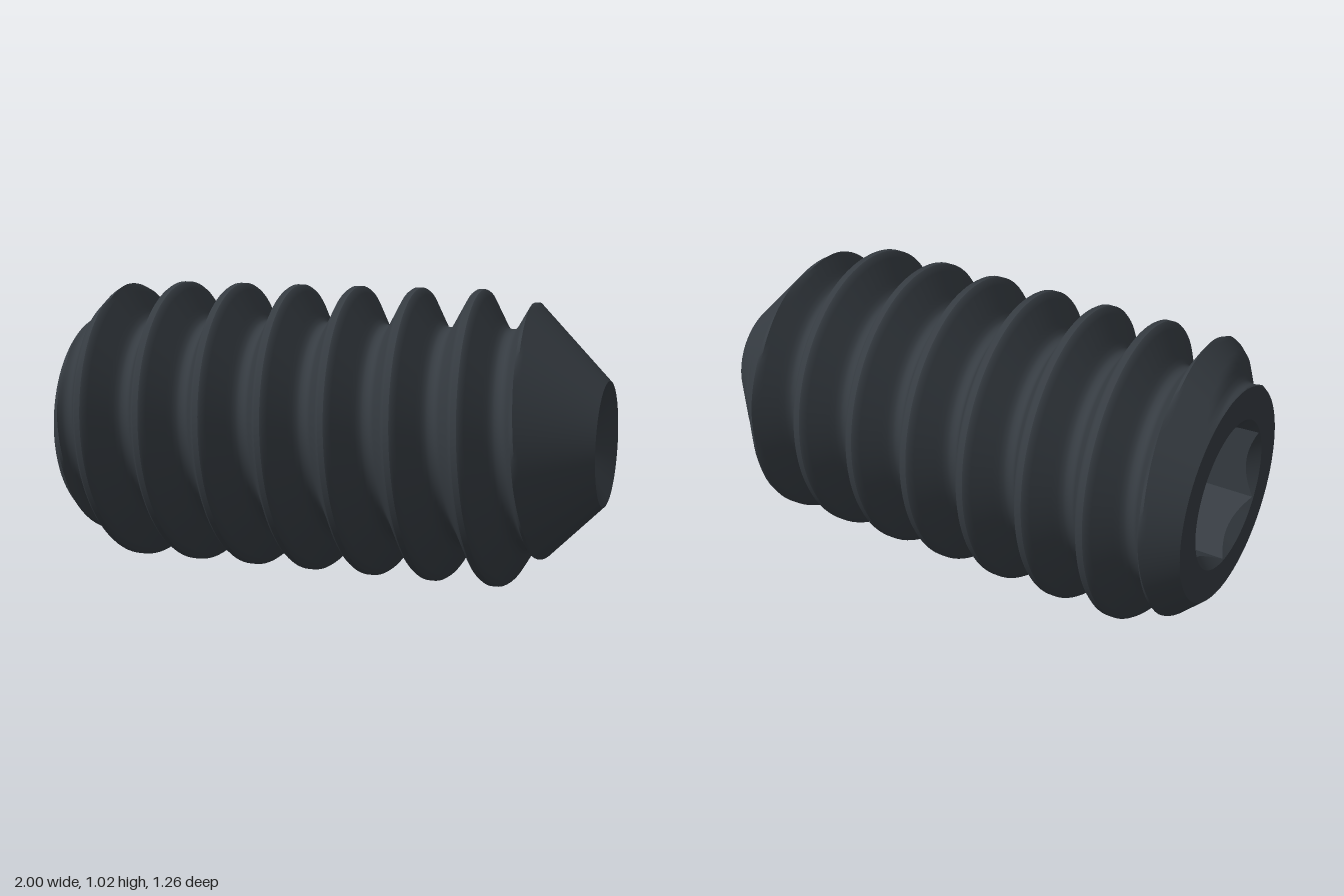
import * as THREE from 'three';
import { toCreasedNormals } from 'three/addons/utils/BufferGeometryUtils.js';

const SEG = 96;
const PITCH = 0.225, CREST = 0.5125;
const BACK = -0.942, TIP = 0.976;          // ends along the screw axis
const BACK_R = 0.376, TIP_R = 0.215;       // radii of the flat ends
const RIM = 0.262, APOTHEM = 0.224;        // socket mouth and hexagon
const FLOOR = BACK + 0.42;

// Half of one thread: [distance from crest, radius]
const HALF = [[0, CREST], [0.010, CREST], [0.018, 0.507]];
for (let i = 1; i <= 6; i++) HALF.push([0.018 + i * 0.0105, 0.507 - i * 0.0178]);
HALF.push([0.092, 0.385], [0.102, 0.379], [PITCH / 2, 0.378]);
const THREAD = [...HALF.slice(1, -1).reverse().map(([d, r]) => [-d, r]), ...HALF];

// Skin through rows; each row maps an angle to [axial position, radius]
function skin(name, rows, material, crease = 0.6) {
  const K = 100;                           // enlarged while normals are computed
  const point = (row, j) => {
    const a = (j / SEG) * Math.PI * 2;
    const [s, r] = row(a);
    return new THREE.Vector3(s, r * Math.cos(a), -r * Math.sin(a)).multiplyScalar(K);
  };
  const grid = rows.map(row => Array.from({ length: SEG + 1 }, (_, j) => point(row, j)));
  const pos = [];
  const tri = new THREE.Triangle();
  const add = (a, b, c) => {
    if (tri.set(a, b, c).getArea() > 1e-4) pos.push(...a.toArray(), ...b.toArray(), ...c.toArray());
  };
  for (let i = 0; i < rows.length - 1; i++) {
    for (let j = 0; j < SEG; j++) {
      const a = grid[i][j], b = grid[i + 1][j], c = grid[i + 1][j + 1], d = grid[i][j + 1];
      add(a, b, c);
      add(a, c, d);
    }
  }
  let geo = new THREE.BufferGeometry();
  geo.setAttribute('position', new THREE.Float32BufferAttribute(pos, 3));
  geo = toCreasedNormals(geo, crease);
  geo.scale(1 / K, 1 / K, 1 / K);
  const mesh = new THREE.Mesh(geo, material);
  mesh.name = name;
  return mesh;
}

const ring = (s, r) => () => [s, r];

// Hexagon radius at an angle, with corners at top and bottom
function hex(a) {
  const step = Math.PI / 3;
  return APOTHEM / Math.cos((a % step) - step / 2);
}

// Helical thread cut off by the chamfer cones at both ends
function threadRows() {
  const rows = [];
  for (let k = -6; k <= 6; k++) {
    for (const [d, r] of THREAD) {
      rows.push(a => {
        const raw = 0.077 + PITCH * (k - a / (Math.PI * 2)) + d;
        const s = THREE.MathUtils.clamp(raw, BACK, TIP);
        return [s, Math.min(r, BACK_R + 0.92 * (s - BACK), TIP_R + TIP - s)];
      });
    }
  }
  // Make sure the skin closes exactly on both flat ends
  return [ring(BACK, BACK_R), ...rows, ring(TIP, TIP_R)];
}

export function createModel() {
  const steel = new THREE.MeshStandardMaterial({ color: 0x363c42 });
  steel.name = 'dark steel';

  const screw = new THREE.Group();
  screw.name = 'setScrew';
  screw.add(
    skin('threadedBody', threadRows(), steel),
    skin('backFace', [ring(BACK, RIM), ring(BACK, BACK_R)], steel),
    // Hexagonal socket with a conical lead-in
    skin('hexSocket', [
      ring(FLOOR, 0),
      a => [FLOOR, hex(a)],
      a => [BACK + RIM - hex(a), hex(a)],
      ring(BACK, RIM),
    ], steel, 0.4),
    // Hollow cone in the tip
    skin('cupPoint', [ring(TIP, TIP_R), ring(TIP - 0.06, TIP_R / 2), ring(TIP - 0.12, 0)], steel),
  );
  screw.rotation.y = THREE.MathUtils.degToRad(-12);
  screw.position.set(0, CREST, 0.007);

  const model = new THREE.Group();
  model.name = 'model';
  model.add(screw);
  return model;
}
